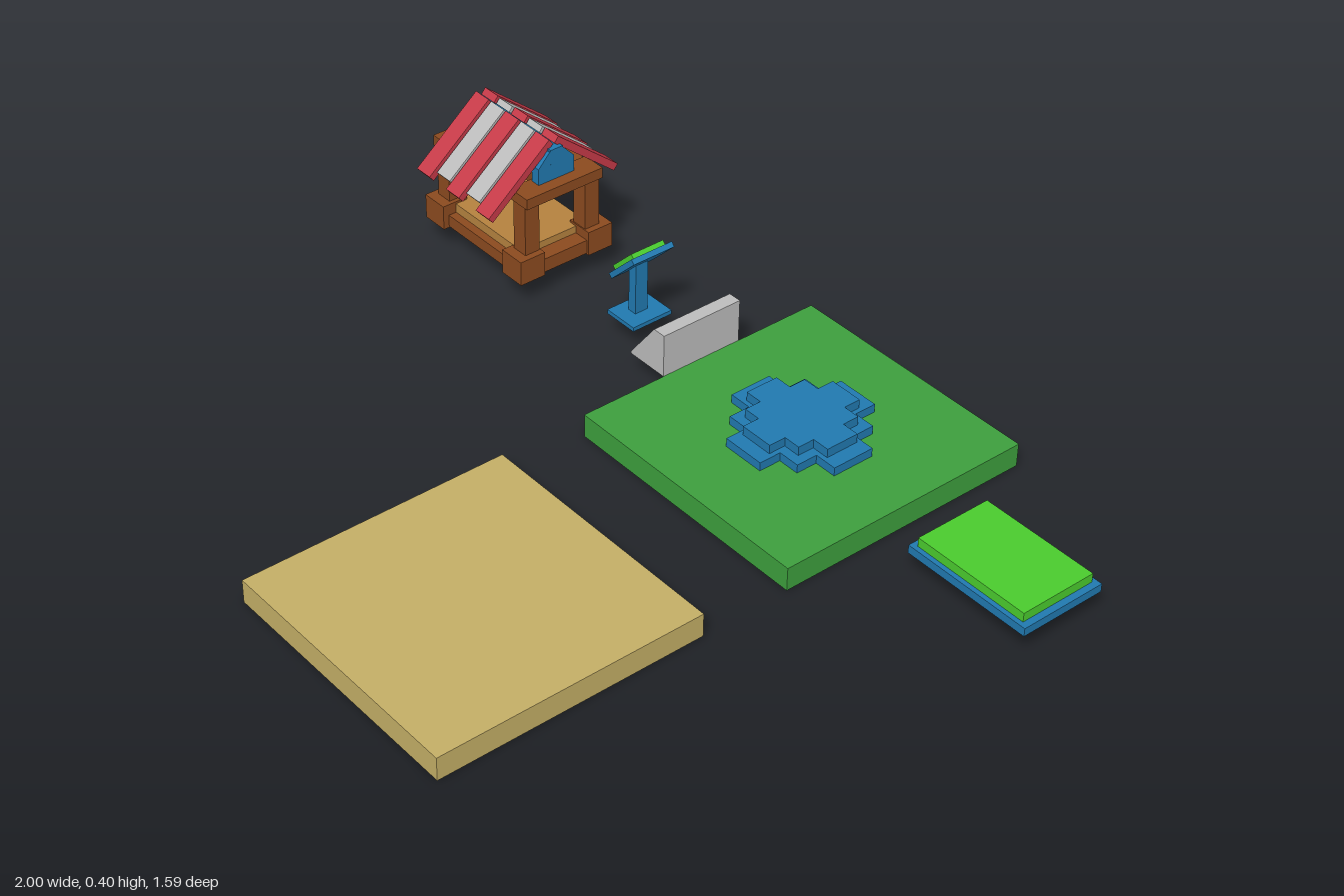
import * as THREE from 'three';

const mat = (name, color, side = THREE.FrontSide) => {
  const m = new THREE.MeshStandardMaterial({ color, side });
  m.name = name;
  return m;
};

export function createModel() {
  const sand = mat('sand', 0xc4ae66), grass = mat('grass green', 0x3d9f3d);
  const blue = mat('blue', 0x2179b0), lime = mat('lime', 0x4acb2e);
  const brown = mat('dark wood', 0x8b4a1f), tan = mat('light wood', 0xb5823f);
  const red = mat('awning red', 0xc63a48), grey = mat('light grey', 0xbcbcbc);

  const model = new THREE.Group();
  const group = (name) => {
    const g = new THREE.Group();
    g.name = name;
    model.add(g);
    return g;
  };
  // Box given by its extents on each axis
  const box = (parent, name, m, [x0, x1], [y0, y1], [z0, z1]) => {
    const mesh = new THREE.Mesh(new THREE.BoxGeometry(x1 - x0, y1 - y0, z1 - z0), m);
    mesh.position.set((x0 + x1) / 2, (y0 + y1) / 2, (z0 + z1) / 2);
    mesh.name = name;
    parent.add(mesh);
    return mesh;
  };
  const around = (c, half) => [c - half, c + half];
  // Flat outline extruded along z, centred on z = 0
  const prism = (points, depth) => new THREE.ExtrudeGeometry(
    new THREE.Shape(points.map(([x, y]) => new THREE.Vector2(x, y))),
    { depth, bevelEnabled: false }).translate(0, 0, -depth / 2);

  // Ground slabs
  box(model, 'sandSlab', sand, [-0.14, 0.54], [0, 0.06], [0.115, 0.795]);
  box(model, 'grassSlab', grass, [-0.14, 0.54], [0, 0.06], [-0.795, -0.115]);

  // Stepped round podium: each tier is one twelve-sided blocky disc
  const podium = group('podium');
  const tier = (name, a, b, c, y, h) => {
    const q = [[c, a], [c, b], [b, b], [b, c], [a, c]].map(([x, z]) => [z, x]).reverse();
    const pts = [];
    for (let i = 0; i < 4; i++) {
      const s = [[1, 0], [0, 1], [-1, 0], [0, -1]][i];
      const quarter = [[a, c], [b, c], [b, b], [c, b], [c, a]];
      for (const [x, z] of quarter) pts.push([x * s[0] - z * s[1], x * s[1] + z * s[0]]);
    }
    const mesh = new THREE.Mesh(prism(pts, h).rotateX(-Math.PI / 2), blue);
    mesh.position.set(0.2, y + h / 2, -0.457);
    mesh.name = name;
    podium.add(mesh);
  };
  tier('lowerTier', 0.17, 0.112, 0.056, 0.06, 0.022);
  tier('upperTier', 0.133, 0.088, 0.044, 0.082, 0.023);

  // Wedge ramp
  const ramp = new THREE.Mesh(prism(
    [[-0.255, 0.06], [-0.14, 0.06], [-0.14, 0.172], [-0.175, 0.172], [-0.255, 0.067]], 0.225), grey);
  ramp.position.z = -0.457;
  ramp.name = 'ramp';
  model.add(ramp);

  // Display pad
  const pad = group('displayPad');
  box(pad, 'padBase', blue, [0.66, 1.0], [0.062, 0.083], [-0.57, -0.345]);
  box(pad, 'padTop', lime, [0.675, 0.983], [0.083, 0.106], [-0.558, -0.357]);

  // Kiosk with a tilted screen
  const kiosk = group('kiosk');
  box(kiosk, 'kioskFoot', blue, [-0.41, -0.315], [0.062, 0.073], [-0.515, -0.4]);
  box(kiosk, 'kioskPost', blue, [-0.38, -0.355], [0.073, 0.21], around(-0.457, 0.018));
  const head = new THREE.Group();
  head.name = 'kioskHead';
  head.position.set(-0.357, 0.216, -0.457);
  head.rotation.z = Math.PI / 4;
  kiosk.add(head);
  box(head, 'screenBack', blue, [-0.057, 0.057], [-0.007, 0.007], [-0.06, 0.06]);
  box(head, 'screen', lime, [-0.046, 0.046], [0.007, 0.019], [-0.047, 0.047]);

  // Market stall
  const stall = group('stall');
  const cx = -0.81, cz = -0.447;
  for (const sx of [-1, 1]) {
    for (const sz of [-1, 1]) {
      box(stall, 'foot', brown, around(cx + sx * 0.153, 0.036), [0.065, 0.13], around(cz + sz * 0.102, 0.036));
      box(stall, 'post', brown, around(cx + sx * 0.15, 0.022), [0.13, 0.265], around(cz + sz * 0.09, 0.021));
    }
    box(stall, 'sideRail', brown, around(cx + sx * 0.16, 0.022), [0.068, 0.105], around(cz, 0.07));
    box(stall, 'topBeam', brown, around(cx + sx * 0.15, 0.033), [0.264, 0.292], around(cz, 0.113));
    // Gable plate under the roof ridge
    const gable = new THREE.Mesh(prism([[-0.053, 0.292], [0.053, 0.292], [0.053, 0.335],
      [0.02, 0.37], [-0.02, 0.37], [-0.053, 0.335]], 0.025).rotateY(Math.PI / 2), blue);
    gable.position.set(cx + sx * 0.138, 0, cz);
    gable.name = 'gable';
    stall.add(gable);
  }
  for (const sz of [-1, 1]) {
    box(stall, 'longRail', brown, around(cx, 0.12), [0.068, 0.1], around(cz + sz * 0.1, 0.022));
    box(stall, 'longBeam', brown, around(cx, 0.12), [0.264, 0.288], around(cz + sz * 0.09, 0.02));
  }
  box(stall, 'floor', tan, around(cx, 0.14), [0.1, 0.124], around(cz, 0.1));
  box(stall, 'ridgeBeam', blue, around(cx, 0.152), [0.335, 0.375], around(cz, 0.018));

  // Striped roof: five slats on each slope, the grey ones shorter
  const pitch = Math.atan2(0.145, 0.178);
  for (const sz of [-1, 1]) {
    const slope = new THREE.Group();
    slope.name = 'roofSlope';
    slope.position.set(cx, 0.39, cz + sz * 0.008);
    slope.rotation.y = sz > 0 ? 0 : Math.PI;
    stall.add(slope);
    const tilt = new THREE.Group();
    tilt.rotation.x = pitch;
    slope.add(tilt);
    for (let i = -2; i <= 2; i++) {
      const isRed = i % 2 === 0;
      box(tilt, isRed ? 'redSlat' : 'greySlat', isRed ? red : grey,
        around(i * 0.058, 0.025), isRed ? [-0.01, 0.009] : [-0.009, 0.007], [0, isRed ? 0.232 : 0.212]);
    }
  }
  return model;
}
